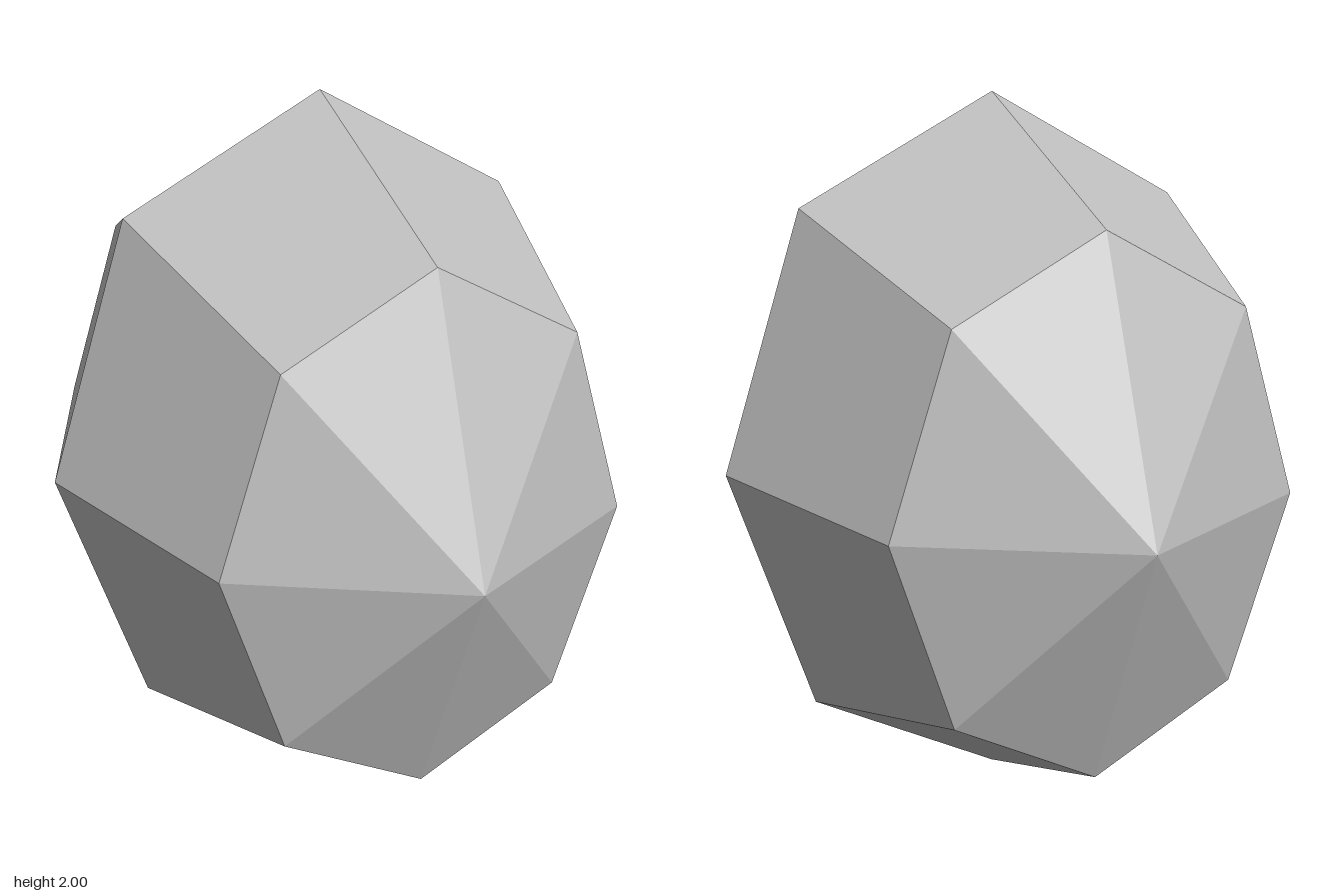
import * as THREE from 'three';

const stone = new THREE.MeshStandardMaterial({ color: 0xc0c0c0, flatShading: true });
stone.name = 'stone grey';

export function createModel() {
  const group = new THREE.Group();
  group.name = 'boulder';

  // Faceted ball: 8 sides, 4 bands, poles laid front to back
  const geometry = new THREE.SphereGeometry(1, 8, 4);
  geometry.rotateX(Math.PI / 2);
  // Narrowed sideways, then turned slightly about the vertical
  geometry.scale(0.776, 1, 1);
  geometry.rotateY(Math.PI / 12);
  geometry.translate(0, 1, 0);

  const body = new THREE.Mesh(geometry, stone);
  body.name = 'facetedBody';
  group.add(body);
  return group;
}
